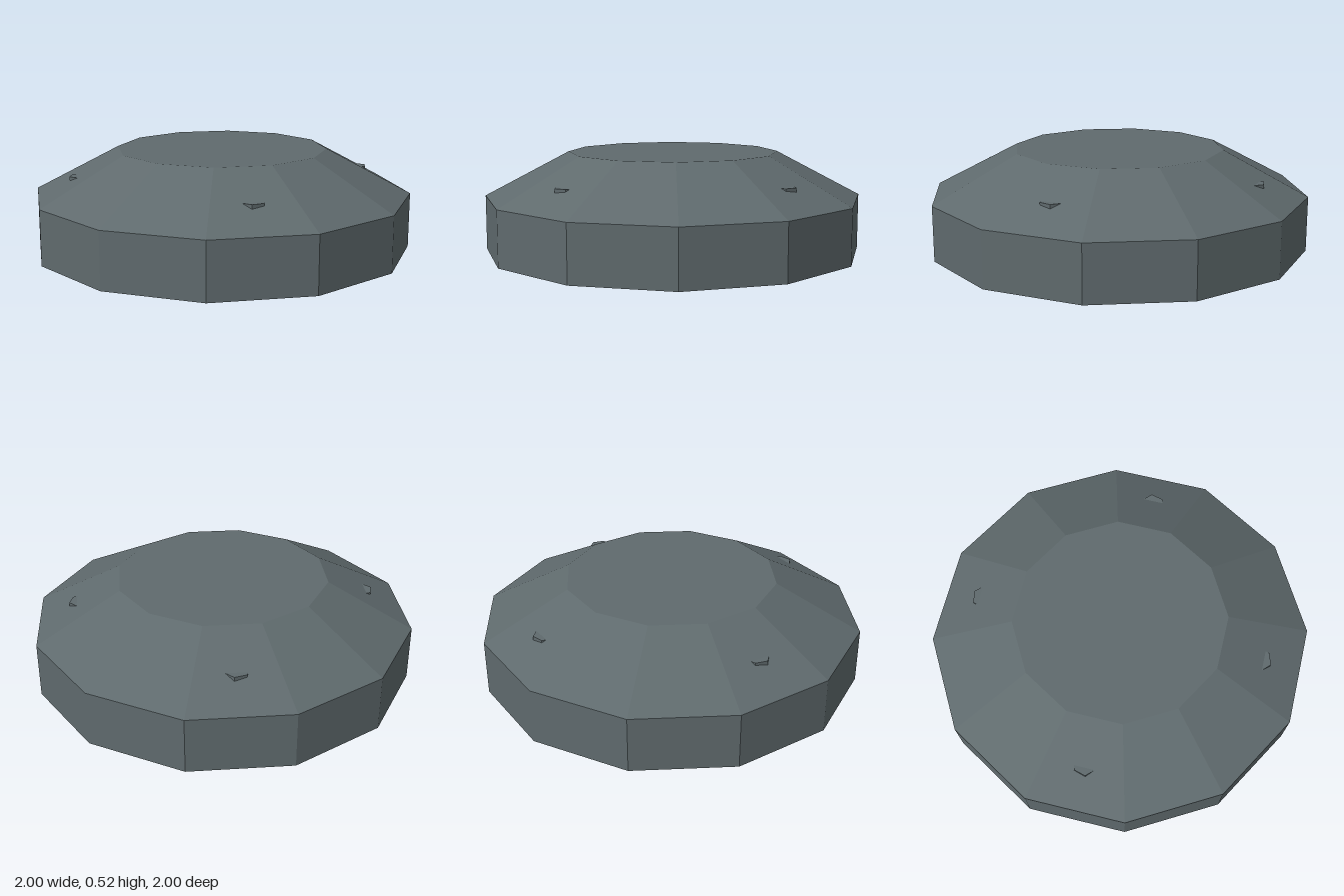
import * as THREE from 'three';

export function createModel() {
  const group = new THREE.Group();
  const slate = new THREE.MeshStandardMaterial({ name: 'slateGrey', color: 0x5f6a6d, flatShading: true });

  // Faceted prism standing with its underside at y
  function prism(name, rTop, rBottom, height, sides, x, y, z, openEnded = false) {
    const geometry = new THREE.CylinderGeometry(rTop, rBottom, height, sides, 1, openEnded);
    const mesh = new THREE.Mesh(geometry, slate);
    mesh.name = name;
    mesh.position.set(x, y + height / 2, z);
    group.add(mesh);
    return mesh;
  }

  // Twelve-sided base with a bevelled cap
  prism('base', 1, 1, 0.29, 12, 0, 0, 0);
  prism('bevelledCap', 0.555, 1, 0.235, 12, 0, 0.29, 0);

  // Hexagonal bolts just breaking through the bevel
  for (const sx of [-1, 1]) {
    for (const sz of [-1, 1]) {
      const bolt = prism('bolt', 0.064, 0.064, 0.1, 6, sx * 0.525, 0.3, sz * 0.524);
      bolt.rotation.y = Math.PI / 2;
    }
  }
  return group;
}
